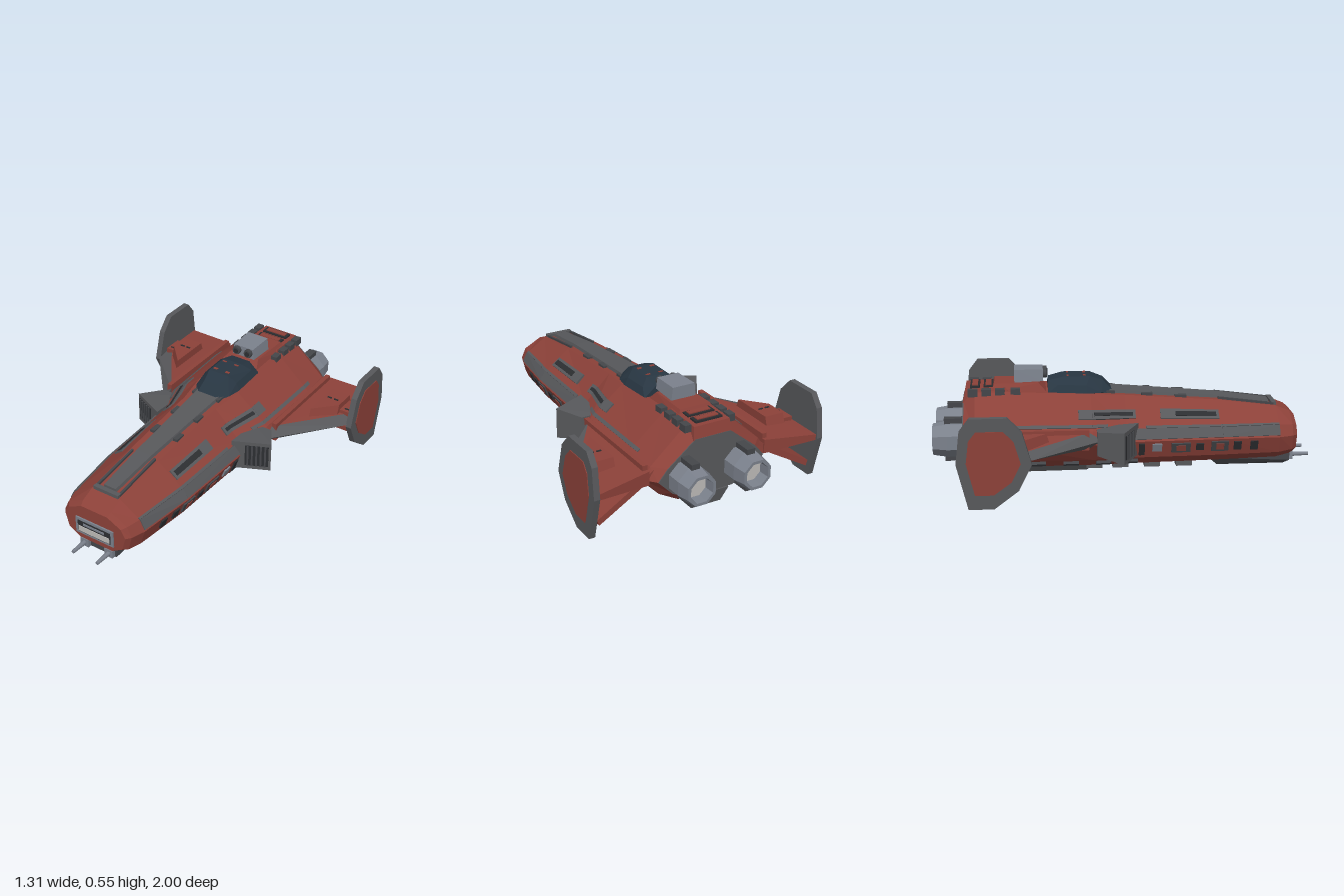
import * as THREE from 'three';
import { mergeGeometries } from 'three/addons/utils/BufferGeometryUtils.js';
import { ConvexGeometry } from 'three/addons/geometries/ConvexGeometry.js';

const paint = (name, color) => Object.assign(new THREE.MeshStandardMaterial({ color, side: THREE.DoubleSide }), { name });
const red = paint('red paint', 0x8c4139), grey = paint('grey plating', 0x57585b), dark = paint('dark recess', 0x2c2e31);
const steel = paint('light steel', 0x7b818c), glass = paint('canopy glass', 0x283642), lamp = paint('pale lamp', 0xbdbab7);
const gun = paint('gunmetal', 0x44464a);
const V = (x, y, z) => new THREE.Vector3(x, y, z);

// Hull stations: z, then the five right-hand edges (x, y) from belly to spine
const stations = [
  [0.91, [0.10, 0.085], [0.165, 0.125], [0.185, 0.20], [0.16, 0.245], [0.08, 0.285]],
  [0.885, [0.11, 0.075], [0.185, 0.12], [0.205, 0.20], [0.18, 0.255], [0.085, 0.305]],
  [0.81, [0.12, 0.06], [0.20, 0.11], [0.23, 0.20], [0.20, 0.26], [0.085, 0.335]],
  [0.5, [0.13, 0.055], [0.235, 0.115], [0.27, 0.21], [0.235, 0.265], [0.09, 0.375]],
  [0, [0.14, 0.05], [0.25, 0.115], [0.285, 0.21], [0.25, 0.27], [0.10, 0.415]],
  [-0.18, [0.15, 0.05], [0.27, 0.115], [0.345, 0.22], [0.31, 0.28], [0.125, 0.43]],
  [-0.6, [0.15, 0.05], [0.27, 0.12], [0.35, 0.22], [0.32, 0.285], [0.13, 0.45]],
  [-0.78, [0.15, 0.06], [0.26, 0.12], [0.35, 0.22], [0.31, 0.28], [0.12, 0.45]],
  [-0.84, [0.12, 0.10], [0.22, 0.14], [0.30, 0.22], [0.25, 0.28], [0.10, 0.40]],
];

// Point on hull edge k at depth z
function edge(z, k) {
  let i = 0;
  while (i < stations.length - 2 && stations[i + 1][0] > z) i++;
  const a = stations[i], b = stations[i + 1], t = (z - a[0]) / (b[0] - a[0]);
  return V(a[k + 1][0] + t * (b[k + 1][0] - a[k + 1][0]), a[k + 1][1] + t * (b[k + 1][1] - a[k + 1][1]), z);
}

function loftHull() {
  const rings = stations.map(([z, ...p]) => [...p.map(([x, y]) => V(x, y, z)), ...p.slice().reverse().map(([x, y]) => V(-x, y, z))]);
  const pos = [], tri = (...v) => v.forEach(p => pos.push(p.x, p.y, p.z));
  for (let j = 0; j < rings.length - 1; j++) for (let i = 0; i < 10; i++) {
    const n = (i + 1) % 10, a = rings[j], b = rings[j + 1];
    tri(a[i], b[i], a[n]);
    tri(a[n], b[i], b[n]);
  }
  for (let i = 1; i < 9; i++) tri(rings[0][0], rings[0][i], rings[0][i + 1]);
  const g = new THREE.BufferGeometry().setAttribute('position', new THREE.Float32BufferAttribute(pos, 3));
  g.computeVertexNormals();
  return g;
}

export function createModel() {
  const ship = new THREE.Group();
  ship.name = 'starfighter';
  const add = (name, geo, mat, x = 0, y = 0, z = 0) => {
    const m = new THREE.Mesh(geo, mat);
    m.name = name;
    m.position.set(x, y, z);
    ship.add(m);
    return m;
  };
  const block = (name, mat, x0, x1, y0, y1, z0, z1) =>
    add(name, new THREE.BoxGeometry(x1 - x0, y1 - y0, Math.abs(z1 - z0)), mat, (x0 + x1) / 2, (y0 + y1) / 2, (z0 + z1) / 2);
  // Convex solid from [x, y, z] corners, on one side, both sides or across the centre
  const solid = (name, mat, pts, s = 1) => add(name, new ConvexGeometry(pts.map(p => V(p[0] * s, p[1], p[2]))), mat);
  const pair = (name, mat, pts) => [1, -1].forEach(s => solid(name, mat, pts, s));
  const across = (name, mat, pts) => solid(name, mat, pts.flatMap(p => [p, [-p[0], p[1], p[2]]]));
  const pairBlock = (name, mat, x0, x1, ...r) => { block(name, mat, x0, x1, ...r); block(name, mat, -x1, -x0, ...r); };

  // Raised plate lying on the hull facet between edges k and k+1
  function plate(name, mat, k, z0, z1, t0, t1, h) {
    const cuts = [z0, ...stations.map(s => s[0]).filter(z => z < z0 && z > z1), z1];
    for (const s of [1, -1]) {
      const parts = [];
      for (let i = 0; i < cuts.length - 1; i++) {
        const c = [[cuts[i], t0], [cuts[i], t1], [cuts[i + 1], t0], [cuts[i + 1], t1]].map(([z, t]) => edge(z, k).lerp(edge(z, k + 1), t));
        const n = c[2].clone().sub(c[0]).cross(c[1].clone().sub(c[0])).normalize();
        const pts = c.flatMap(p => [p.clone().addScaledVector(n, h), p.clone().addScaledVector(n, -0.01)]);
        parts.push(new ConvexGeometry(pts.map(p => V(p.x * s, p.y, p.z))));
      }
      add(name, mergeGeometries(parts), mat);
    }
  }

  // Hull and its rear bulkhead
  add('hull', loftHull(), red);
  const back = stations[8].slice(1).map(([x, y]) => [x, y, -0.84]);
  across('rearBulkhead', grey, back.flatMap(p => [p, [p[0], p[1], -0.845]]));

  // Shoulder armour, rear trim and slotted vents
  plate('shoulderArmour', grey, 2, 0.81, 0.0, 0.15, 1, 0.006);
  plate('shoulderTrim', grey, 3, 0.81, 0.1, 0, 0.08, 0.005);
  plate('rearTrim', grey, 3, -0.1, -0.65, 0.08, 0.16, 0.004);
  for (const [z0, z1, t0, t1] of [[0.49, 0.18, 0.28, 0.6], [0.05, -0.25, 0.3, 0.55]]) {
    plate('ventFrame', grey, 3, z0, z1, t0, t1, 0.007);
    plate('ventSlot', dark, 3, z0 - 0.015, z1 + 0.08, t0 + 0.08, t1 - 0.08, 0.01);
  }

  // Side hatches and fittings
  for (const [z0, z1, a, b, m] of [[0.69, 0.65, 0.3, 0.85, dark], [0.6, 0.56, 0.35, 0.85, dark], [0.53, 0.44, 0.3, 0.9, gun],
    [0.4, 0.36, 0.4, 0.8, dark], [0.33, 0.23, 0.3, 0.85, gun], [0.18, 0.13, 0.4, 0.85, steel], [0.09, 0.06, 0.2, 0.9, dark]]) {
    plate('sideHatch', m, 1, z0, z1, a, b, 0.008);
    if (m === gun) plate('hatchInset', red, 1, z0 - 0.025, z1 + 0.025, a + 0.12, b - 0.12, 0.012);
  }
  for (const z of [0.06, -0.08, -0.25, -0.42]) plate('lowerFitting', gun, 0, z, z - 0.08, 0.5, 0.8, 0.015);

  // Nose lamp with frame
  block('noseFrame', steel, -0.115, 0.115, 0.118, 0.212, 0.9, 0.918);
  block('noseRecess', dark, -0.1, 0.1, 0.132, 0.198, 0.9, 0.921);
  block('noseLamp', lamp, -0.095, 0.095, 0.137, 0.168, 0.9, 0.924);
  block('noseBar', steel, -0.065, 0.065, 0.178, 0.19, 0.9, 0.924);

  // Spine ridge and its front frame
  for (const [z0, z1] of [[0.78, 0.5], [0.5, 0], [0, -0.08]]) {
    const ends = [z0, z1].flatMap(z => {
      const w = 0.035 + (0.78 - z) * 0.036, y = edge(z, 4).y;
      return [[w + 0.008, y - 0.01, z], [w, y + 0.016, z]];
    });
    across('spineRidge', grey, ends);
  }
  pair('spineRail', gun, [0.8, 0.5].flatMap(z => [0.064, 0.076].flatMap(x => [[x, edge(z, 4).y - 0.01, z], [x, edge(z, 4).y + 0.012, z]])));
  block('spineFrontBar', grey, -0.076, 0.076, 0.32, 0.352, 0.79, 0.815);
  for (const z of [0.3, 0.12, -0.08]) pairBlock('spineLatch', gun, 0.058, 0.085, edge(z, 4).y - 0.01, edge(z, 4).y + 0.012, z + 0.03, z - 0.03);

  // Canopy with small markings
  across('canopy', glass, [[0.06, 0.42, -0.05], [0.105, 0.43, -0.12], [0.12, 0.43, -0.2], [0.12, 0.435, -0.4], [0.045, 0.485, -0.11],
    [0.06, 0.51, -0.18], [0.06, 0.51, -0.32], [0.055, 0.49, -0.4], [0.1, 0.47, -0.2], [0.1, 0.475, -0.35]]);
  pairBlock('canopyMark', red, 0.025, 0.05, 0.508, 0.513, -0.2, -0.215);
  pairBlock('canopyMark', red, 0.025, 0.05, 0.508, 0.513, -0.29, -0.3);

  // Turret and rear deck
  across('turretBase', red, [[0.1, 0.43, -0.4], [0.08, 0.485, -0.45], [0.085, 0.485, -0.68], [0.11, 0.44, -0.7]]);
  across('turret', steel, [[0.068, 0.49, -0.425], [0.06, 0.55, -0.425], [0.07, 0.485, -0.575], [0.062, 0.552, -0.575]]);
  for (const s of [1, -1]) {
    add('turretMuzzle', new THREE.CylinderGeometry(0.024, 0.024, 0.03, 8).rotateX(Math.PI / 2).toNonIndexed(), gun, s * 0.036, 0.525, -0.42);
    add('turretBore', new THREE.CylinderGeometry(0.014, 0.014, 0.03, 8).rotateX(Math.PI / 2).toNonIndexed(), dark, s * 0.036, 0.525, -0.415);
  }
  across('rearDeck', red, [[0.11, 0.43, -0.6], [0.1, 0.468, -0.62], [0.1, 0.46, -0.83], [0.11, 0.39, -0.845]]);
  for (const z of [-0.71, -0.78]) {
    block('deckVent', dark, -0.075, 0.075, 0.455, 0.472, z + 0.025, z - 0.025);
    block('deckVentCover', red, -0.06, 0.06, 0.455, 0.477, z + 0.015, z - 0.015);
  }
  for (const z of [-0.57, -0.65, -0.72, -0.79]) pairBlock('deckClamp', gun, 0.105, 0.142, 0.43, 0.468, z + 0.025, z - 0.025);

  // Engines: octagonal nozzles, clamps and glow
  const nozzle = new THREE.LatheGeometry([[0.08, 0], [0.094, 0.02], [0.094, 0.1], [0.082, 0.175], [0.066, 0.175], [0.06, 0.09]]
    .map(p => new THREE.Vector2(...p)), 8, Math.PI / 8).rotateX(-Math.PI / 2).toNonIndexed();
  nozzle.computeVertexNormals();
  for (const s of [1, -1]) {
    add('engineNozzle', nozzle, steel, s * 0.157, 0.215, -0.825);
    add('engineGlow', new THREE.CircleGeometry(0.065, 8, Math.PI / 8).rotateY(Math.PI), lamp, s * 0.157, 0.215, -0.94);
    for (const y of [0.117, 0.313]) add('engineClamp', new THREE.BoxGeometry(0.045, 0.03, 0.12), gun, s * 0.157, y, -0.88);
  }

  // Wings with grey leading edges, raised panels and root ribs
  pair('wingLeadingEdge', grey, [[0.33, 0.235, -0.13], [0.33, 0.28, -0.2], [0.33, 0.195, -0.2], [0.625, 0.235, -0.49], [0.625, 0.25, -0.62], [0.625, 0.22, -0.62]]);
  pair('wing', red, [[0.33, 0.28, -0.2], [0.33, 0.195, -0.2], [0.33, 0.275, -0.81], [0.33, 0.2, -0.81],
    [0.625, 0.25, -0.62], [0.625, 0.22, -0.62], [0.625, 0.25, -0.85], [0.625, 0.22, -0.85]]);
  pair('wingPanel', red, [[0.44, 0.25, -0.4], [0.55, 0.25, -0.52], [0.44, 0.25, -0.68], [0.55, 0.25, -0.68],
    [0.44, 0.312, -0.42], [0.55, 0.31, -0.54], [0.44, 0.312, -0.66], [0.55, 0.31, -0.66]]);
  pairBlock('wingTipPanel', red, 0.55, 0.61, 0.24, 0.275, -0.55, -0.66);
  for (const x of [0.46, 0.5, 0.57]) pairBlock('wingSlot', dark, x, x + 0.025, 0.262, x < 0.55 ? 0.316 : 0.279, -0.57, -0.578);
  pairBlock('wingRootRib', red, 0.33, 0.356, 0.195, 0.3, -0.2, -0.79);

  // Lower winglets bracing the tip fins
  pair('lowerWinglet', red, [[0.3, 0.27, -0.45], [0.3, 0.23, -0.45], [0.3, 0.27, -0.8], [0.3, 0.23, -0.8],
    [0.61, 0.09, -0.67], [0.6, 0.06, -0.67], [0.61, 0.09, -0.81], [0.6, 0.06, -0.81]]);

  // Tip fins with red centre panels
  const fin = [[-0.495, 0.22], [-0.54, 0.38], [-0.61, 0.455], [-0.79, 0.455], [-0.84, 0.39], [-0.86, 0.23], [-0.805, 0], [-0.68, 0], [-0.56, 0.09]];
  pair('tipFin', grey, fin.flatMap(([z, y]) => [[0.62, y, z], [0.652, y, z]]));
  pair('tipFinPanel', red, fin.flatMap(([z, y]) => [0.645, 0.656].map(x => [x, 0.24 + (y - 0.24) * 0.7, -0.685 + (z + 0.685) * 0.72])));

  // Side intakes with slatted grilles
  pair('intake', grey, [0.24, 0.43].flatMap(x => {
    const z = 0.06 - (x - 0.24) * 0.47;
    return [[x, 0.132, z], [x, 0.3, z], [Math.min(x, 0.35), 0.16, -0.16], [Math.min(x, 0.35), 0.285, -0.16]];
  }));
  const grille = (name, mat, x0, x1, out) => pair(name, mat, [x0, x1].flatMap(x => [0.155, 0.28].flatMap(y =>
    [-0.01, out].map(d => [x + d * 0.43, y, 0.06 - (x - 0.24) * 0.47 + d * 0.9]))));
  grille('intakeGrille', dark, 0.305, 0.418, 0.003);
  for (let i = 0; i < 5; i++) grille('intakeSlat', gun, 0.314 + i * 0.021, 0.323 + i * 0.021, 0.008);

  // Chin plate with twin guns
  across('chinPlate', gun, [[0.11, 0.035, 0.89], [0.11, 0.085, 0.89], [0.09, 0.015, 0.86], [0.08, 0.012, 0.5], [0.11, 0.06, 0.45]]);
  for (const s of [1, -1]) {
    block('gunMount', steel, s * 0.075 - 0.025, s * 0.075 + 0.025, 0.035, 0.08, 0.86, 0.91);
    add('gunBarrel', new THREE.CylinderGeometry(0.009, 0.014, 0.12, 8).rotateX(Math.PI / 2).toNonIndexed(), steel, s * 0.075, 0.058, 0.94);
  }

  // Belly blocks and rear belly plate
  for (const z of [0.36, 0.19, 0.02, -0.12]) pairBlock('bellyBlock', grey, 0.045, 0.115, 0.02, 0.07, z, z - 0.085);
  across('bellyPlate', grey, [[0.12, 0.06, -0.15], [0.085, 0.003, -0.2], [0.085, 0, -0.8], [0.125, 0.07, -0.81]]);
  block('bellyPanel', dark, -0.07, 0.07, 0, 0.006, -0.23, -0.77);
  return ship;
}
